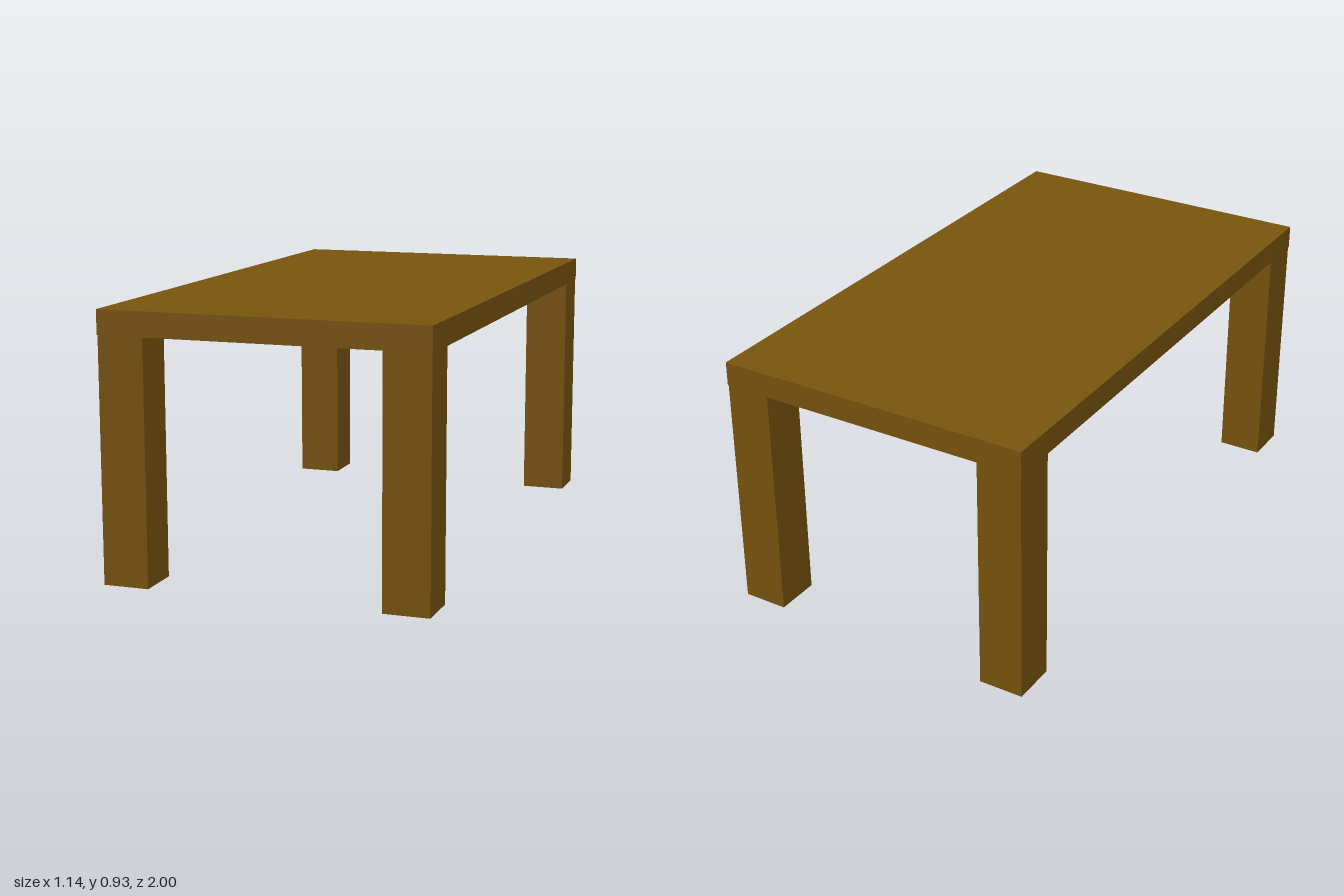
import * as THREE from 'three';

export function createModel() {
  const table = new THREE.Group();
  table.name = 'table';
  const wood = new THREE.MeshStandardMaterial({ color: 0x78530d });

  const width = 1.138, length = 2, height = 0.925;
  const topThickness = 0.085, legSize = 0.16, inset = 0.002;
  const legHeight = height - topThickness;

  // Flat rectangular slab
  const top = new THREE.Mesh(new THREE.BoxGeometry(width, topThickness, length), wood);
  top.name = 'tableTop';
  top.position.y = height - topThickness / 2;
  table.add(top);

  // Four square legs, one at each corner
  const legGeometry = new THREE.BoxGeometry(legSize, legHeight, legSize);
  for (const [sideName, sx] of [['Left', 1], ['Right', -1]]) {
    for (const [endName, sz] of [['front', 1], ['back', -1]]) {
      const leg = new THREE.Mesh(legGeometry, wood);
      leg.name = `${endName}${sideName}Leg`;
      leg.position.set(
        sx * (width / 2 - inset - legSize / 2),
        legHeight / 2,
        sz * (length / 2 - inset - legSize / 2)
      );
      table.add(leg);
    }
  }
  return table;
}
